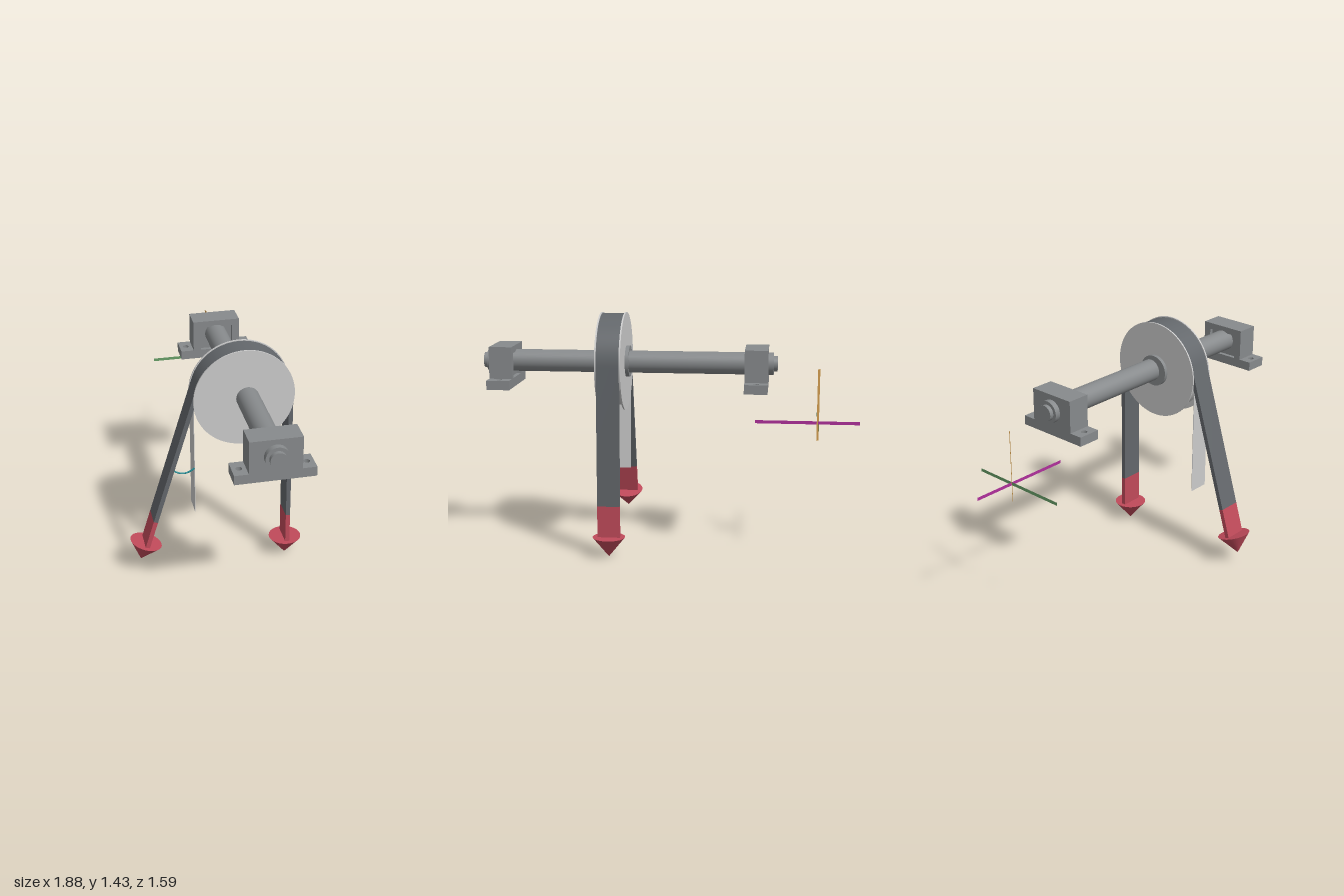
import * as THREE from 'three';
import { toCreasedNormals } from 'three/addons/utils/BufferGeometryUtils.js';

const paint = (color) => new THREE.MeshStandardMaterial({ color });
const PULLEY = paint(0xcccccc), STEEL = paint(0x878a8c), BELT = paint(0x63676b);
const STRIP = paint(0xd6d6d6), RED = paint(0xc04a5a), TEAL = paint(0x1a8a92);

function add(parent, name, geometry, material, x = 0, y = 0, z = 0) {
  const mesh = new THREE.Mesh(geometry, material);
  mesh.name = name;
  mesh.position.set(x, y, z);
  parent.add(mesh);
  return mesh;
}

// Cylinder along x from x0 to x1
function rod(parent, name, material, radius, x0, x1, segments = 48) {
  const g = new THREE.CylinderGeometry(radius, radius, x1 - x0, segments).rotateZ(Math.PI / 2);
  return add(parent, name, g, material, (x0 + x1) / 2);
}

// Profile drawn in the (z, y) plane, extruded along x and centred
function extrudeX(shape, width) {
  const g = new THREE.ExtrudeGeometry(shape, { depth: width, bevelEnabled: false, curveSegments: 40 });
  return toCreasedNormals(g.translate(0, 0, -width / 2).rotateY(-Math.PI / 2), 0.5);
}

// Pillow block: drilled foot, body and a shallow recess on its +x side
function bearing(name) {
  const group = new THREE.Group();
  group.name = name;
  const W = 0.137, L = 0.223, recess = 0.025;

  const foot = new THREE.Shape();
  foot.moveTo(-W / 2, -L);
  foot.lineTo(W / 2, -L);
  foot.lineTo(W / 2, L);
  foot.lineTo(-W / 2, L);
  foot.closePath();
  for (const s of [-1, 1]) {
    foot.holes.push(new THREE.Path().absarc(0, s * 0.183, 0.018, 0, Math.PI * 2, true));
  }
  const footGeo = new THREE.ExtrudeGeometry(foot, { depth: 0.055, bevelEnabled: false, curveSegments: 12 });
  add(group, 'bearingFoot', footGeo.rotateX(-Math.PI / 2), STEEL, 0, -0.15);

  add(group, 'bearingBody', new THREE.BoxGeometry(W - recess, 0.19, 0.289), STEEL, -recess / 2, 0);
  const face = new THREE.Shape([
    [-0.1445, -0.095], [-0.1, -0.095], [-0.1, 0.055], [0.1, 0.055],
    [0.1, -0.095], [0.1445, -0.095], [0.1445, 0.095], [-0.1445, 0.095],
  ].map(([z, y]) => new THREE.Vector2(z, y)));
  add(group, 'bearingFace', extrudeX(face, recess), STEEL, W / 2 - recess / 2, 0);
  return group;
}

// Arrow running down local -y: square shaft, then cone
function arrow(name, start, neck, tip, width, thickness) {
  const group = new THREE.Group();
  group.name = name;
  add(group, 'arrowShaft', new THREE.BoxGeometry(width, neck - start, thickness), RED, 0, -(start + neck) / 2);
  add(group, 'arrowHead', new THREE.ConeGeometry(0.097, tip - neck, 32).rotateX(Math.PI), RED, 0, -(neck + tip) / 2);
  return group;
}

// Flat upright ribbon, seen from both sides
function ribbon(parent, name, width, height, color, x, y) {
  const material = paint(color);
  material.side = THREE.DoubleSide;
  return add(parent, name, new THREE.PlaneGeometry(width, height), material, x, y);
}

export function createModel() {
  const model = new THREE.Group();
  model.name = 'beltPulley';
  const TURN = -0.663;

  // Drive assembly: local x is the shaft, local z is across the pulley
  const drive = new THREE.Group();
  drive.name = 'driveAssembly';
  drive.position.set(0.28, 1.311, 0.17);
  drive.rotation.y = TURN;
  model.add(drive);

  // Shaft with stepped ends
  rod(drive, 'shaft', STEEL, 0.066, -0.95, 0.77);
  rod(drive, 'shaftTipFar', STEEL, 0.046, -0.973, -0.95);
  rod(drive, 'shaftTipNear', STEEL, 0.046, 0.77, 0.793);

  // Bearings, recesses facing the pulley
  const far = bearing('farBearing');
  far.position.x = -0.85;
  const near = bearing('nearBearing');
  near.position.x = 0.668;
  near.rotation.y = Math.PI;
  drive.add(far, near);

  // Pulley: grooved core between two thin flanges, collar on one side
  const pulley = new THREE.Group();
  pulley.name = 'pulley';
  pulley.position.set(0.008, 0, 0.018);
  drive.add(pulley);
  const RO = 0.287, RI = 0.261, RM = (RO + RI) / 2, WIDTH = 0.134;
  rod(pulley, 'pulleyCore', PULLEY, RI, -0.07, 0.07, 72);
  rod(pulley, 'flangeFar', PULLEY, 0.2925, -0.076, -0.067, 72);
  rod(pulley, 'flangeNear', PULLEY, 0.2925, 0.067, 0.076, 72);
  rod(pulley, 'collar', STEEL, 0.094, -0.098, -0.076);

  // Belt: one vertical strand, a wrap over the top, one slanted strand
  const A = 0.302, slantLength = 0.892, dropLength = 0.831;
  const dir = new THREE.Vector2(Math.sin(A), -Math.cos(A));
  const slantEnd = (r) => [r * Math.cos(A) + dir.x * slantLength, r * Math.sin(A) + dir.y * slantLength];
  const belt = new THREE.Shape();
  belt.moveTo(-RO, -dropLength);
  belt.lineTo(-RO, 0);
  belt.absarc(0, 0, RO, Math.PI, A, true);
  belt.lineTo(...slantEnd(RO));
  belt.lineTo(...slantEnd(RI));
  belt.lineTo(RI * Math.cos(A), RI * Math.sin(A));
  belt.absarc(0, 0, RI, A, Math.PI, false);
  belt.lineTo(-RI, -dropLength);
  belt.closePath();
  add(pulley, 'belt', extrudeX(belt, WIDTH), BELT);

  // Force arrows continuing both strands
  const slack = arrow('verticalForceArrow', dropLength, 1.02, 1.14, WIDTH, RO - RI);
  slack.position.z = -RM;
  const taut = arrow('slantedForceArrow', slantLength, 1.073, 1.193, WIDTH, RO - RI);
  taut.position.set(0, RM * Math.sin(A), RM * Math.cos(A));
  taut.rotation.x = -A;
  pulley.add(slack, taut);

  // Vertical reference strip and the angle arc beside it
  add(drive, 'referenceStrip', new THREE.BoxGeometry(0.126, 0.735, 0.003), STRIP, 0.01, -0.3605, 0.308);
  const arc = new THREE.QuadraticBezierCurve3(
    new THREE.Vector3(0.07, -0.429, 0.308),
    new THREE.Vector3(0.07, -0.486, 0.37),
    new THREE.Vector3(0.07, -0.426, 0.44),
  );
  add(drive, 'angleArc', new THREE.TubeGeometry(arc, 16, 0.005, 8), TEAL);

  // Axis cross made of thin ribbons
  const axes = new THREE.Group();
  axes.name = 'axisCross';
  axes.position.set(-0.667, 0.963, -0.594);
  model.add(axes);
  const level = new THREE.Group();
  level.name = 'levelAxes';
  level.rotation.y = TURN;
  axes.add(level);
  ribbon(level, 'shaftAxis', 0.62, 0.019, 0xb0309c, 0.062, 0);
  const cross = ribbon(level, 'crossAxis', 0.61, 0.019, 0x68a068, 0, 0);
  cross.rotation.y = Math.PI / 2;
  cross.position.z = 0.05;
  ribbon(axes, 'uprightAxis', 0.017, 0.43, 0xc6944a, 0, 0.107);

  return model;
}
